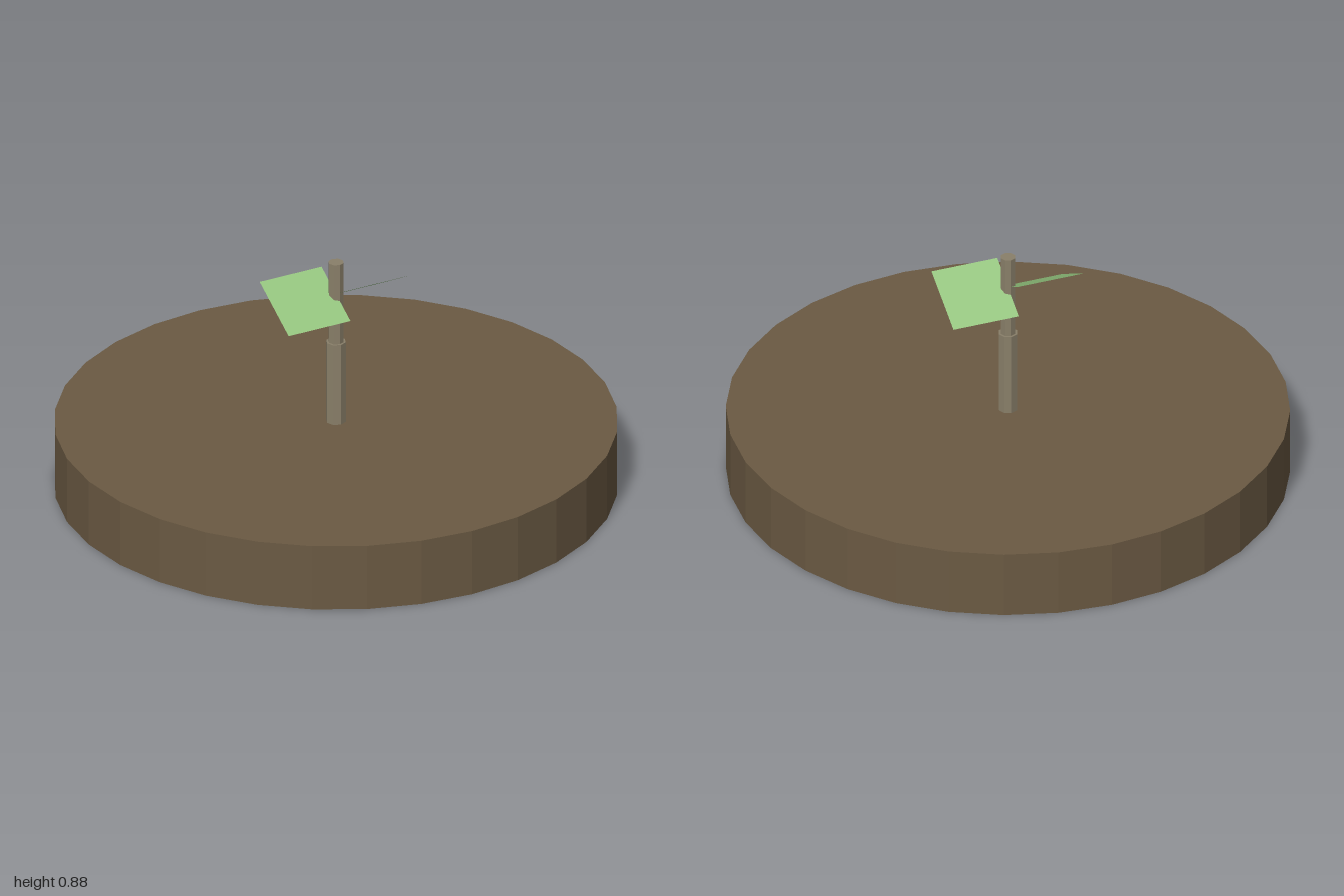
import * as THREE from 'three';

export function createModel() {
  const model = new THREE.Group();
  const soil = new THREE.MeshStandardMaterial({ color: 0x6b5a43, flatShading: true });
  const bark = new THREE.MeshStandardMaterial({ color: 0x8a806a, flatShading: true });
  const leafGreen = new THREE.MeshStandardMaterial({ color: 0x93c47d, side: THREE.DoubleSide });

  // Upright cylinder standing on height y
  const addCylinder = (name, radius, height, y, sides, material) => {
    const mesh = new THREE.Mesh(new THREE.CylinderGeometry(radius, radius, height, sides), material);
    mesh.name = name;
    mesh.position.y = y + height / 2;
    model.add(mesh);
  };

  // Round ground disc and two-step stem
  addCylinder('groundDisc', 1, 0.25, 0, 32, soil);
  addCylinder('lowerStem', 0.036, 0.315, 0.25, 8, bark);
  addCylinder('upperStem', 0.028, 0.313, 0.565, 8, bark);

  // Two flat leaves, pitched 30 degrees in opposite directions like propeller blades
  for (const side of [-1, 1]) {
    const leaf = new THREE.Mesh(new THREE.PlaneGeometry(0.25, 0.245), leafGreen);
    leaf.name = side > 0 ? 'leftLeaf' : 'rightLeaf';
    leaf.position.set(side * 0.125, 0.752, 0);
    leaf.rotation.x = -Math.PI / 2 - side * Math.PI / 6;
    model.add(leaf);
  }
  return model;
}
